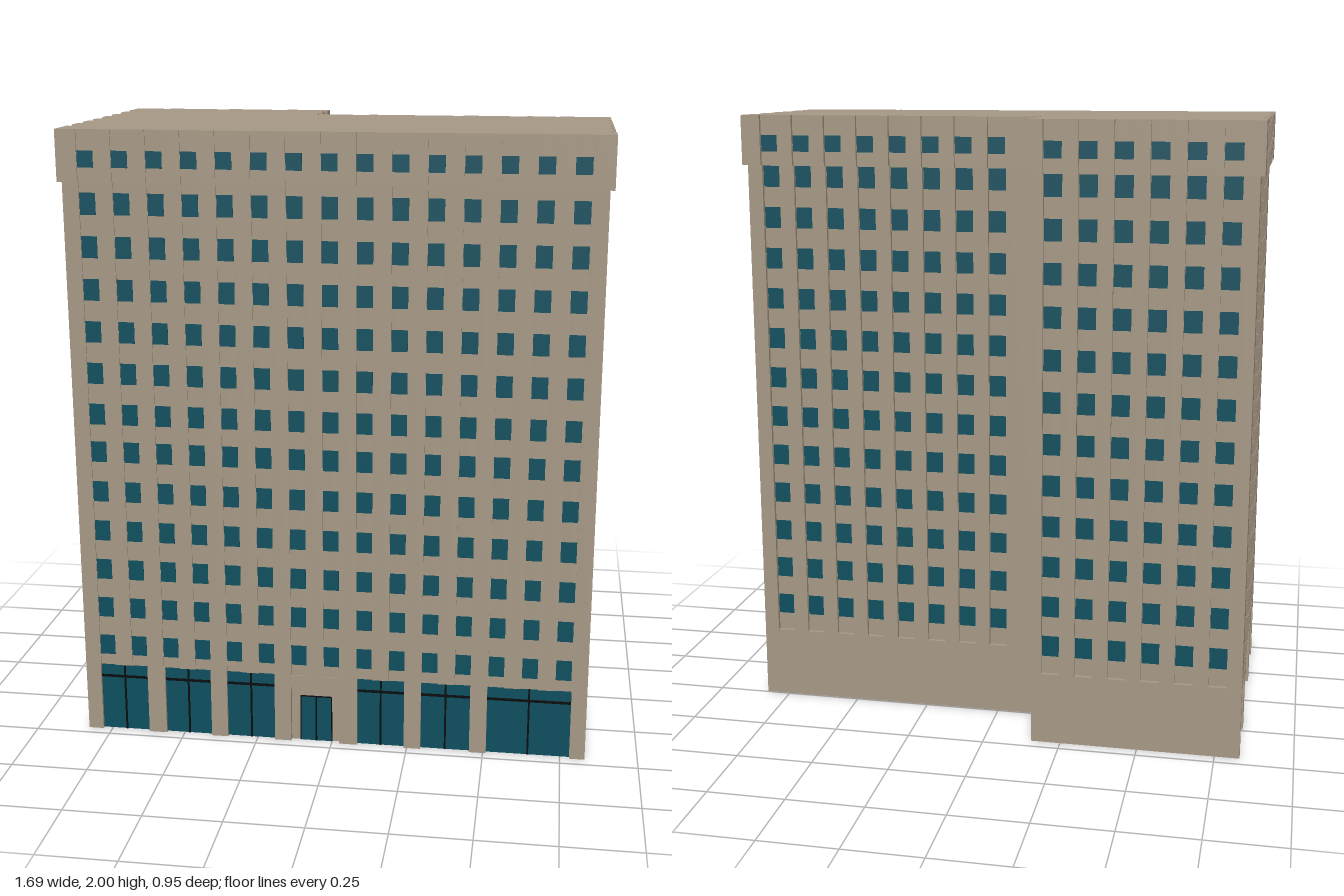
import * as THREE from 'three';
import { mergeGeometries } from 'three/addons/utils/BufferGeometryUtils.js';

const BASE = 0.236, CORNICE = 1.84, TOP = 2, OUT = 0.014;

function mat(name, color) {
  const m = new THREE.MeshStandardMaterial({ color });
  m.name = name;
  return m;
}

// evenly spaced window columns
const columns = (start, n) => Array.from({ length: n }, (_, i) => start + i * 0.1075);

// floor heights
const frontRows = Array.from({ length: 12 }, (_, i) => (i < 6 ? 0.308 + i * 0.134 : 1.103 + (i - 6) * 0.134));
const sideRows = Array.from({ length: 12 }, (_, i) => 0.329 + i * 0.134);

// Walls in order around the L-shaped plan: normal, columns, recess depth, ground floor bays
const walls = [
  { n: [0, 1], cols: columns(-0.7525, 15), depth: 0.004, width: 0.05, rows: frontRows,
    bays: [[-0.78, -0.62], [-0.56, -0.405], [-0.35, -0.19], [-0.135, 0.025],
      [0.085, 0.24], [0.295, 0.455], [0.51, 0.78]] },
  { n: [1, 0], cols: columns(-0.1, 5), depth: 0.013, width: 0.056, rows: sideRows, bays: [] },
  { n: [0, -1], cols: columns(0, 8), depth: 0.013, width: 0.056, rows: sideRows, bays: [] },
  { n: [1, 0], cols: columns(-0.38, 2), depth: 0.013, width: 0.056, rows: sideRows, bays: [] },
  { n: [0, -1], cols: columns(-0.7525, 6), depth: 0.013, width: 0.056, rows: sideRows, bays: [] },
  { n: [-1, 0], cols: columns(-0.32, 7), depth: 0.013, width: 0.056, rows: sideRows,
    bays: [[-0.43, -0.24], [-0.18, 0.17], [0.23, 0.42]] },
];
const BAY_DEPTH = 0.016;

// plan corners [x, z], grown outward by o
function corners(o) {
  const X = 0.83 + o, F = 0.466 + o / 2, B1 = -0.246 - o, B2 = -0.46 - o, S = -0.154 + o;
  return [[-X, F], [X, F], [X, B1], [S, B1], [S, B2], [-X, B2]];
}

// plan outline with slots cut into each wall, extruded from y0 to y1
function storey(o, y0, y1, slotsOf) {
  const c = corners(o), pts = [];
  walls.forEach((w, i) => {
    const a = c[i], b = c[(i + 1) % 6], axis = w.n[0] ? 1 : 0;
    const sign = Math.sign(b[axis] - a[axis]);
    const { slots, depth } = slotsOf(w);
    const at = (p, d) => (axis ? [a[0] - w.n[0] * d, p] : [p, a[1] - w.n[1] * d]);
    pts.push(a);
    [...slots].sort((s, t) => sign * (s[0] - t[0])).forEach((s) => {
      const [p, q] = sign > 0 ? s : [s[1], s[0]];
      pts.push(at(p, 0), at(p, depth), at(q, depth), at(q, 0));
    });
  });
  const shape = new THREE.Shape(pts.map(([x, z]) => new THREE.Vector2(x, -z)));
  const g = new THREE.ExtrudeGeometry(shape, { depth: y1 - y0, bevelEnabled: false });
  return g.rotateX(-Math.PI / 2).translate(0, y0, 0);
}

// thin plate lying on wall i, sunk by d, centred at p along the wall
function plate(i, o, p, y, w, h, d, thick = 0.004) {
  const { n } = walls[i], a = corners(o)[i];
  const g = new THREE.BoxGeometry(w, h, thick);
  g.rotateY(Math.atan2(n[0], n[1]));
  return n[0] ? g.translate(a[0] - n[0] * d, y, p) : g.translate(p, y, a[1] - n[1] * d);
}

export function createModel() {
  const group = new THREE.Group();
  const stone = mat('tan stone', 0xa69885);
  const glass = mat('teal glass', 0x0d4f5e);
  const black = mat('black frame', 0x080a0c);
  const add = (name, geo, m) => {
    const mesh = new THREE.Mesh(geo, m);
    mesh.name = name;
    group.add(mesh);
  };

  // Masonry: ground floor, shaft and projecting crown
  const columnSlots = (w) => ({
    slots: w.cols.map((p) => [p - w.width / 2 - 0.001, p + w.width / 2 + 0.001]), depth: w.depth,
  });
  add('groundFloor', storey(0, 0, BASE, (w) => ({ slots: w.bays, depth: BAY_DEPTH })), stone);
  add('shaft', storey(0, BASE, CORNICE, columnSlots), stone);
  add('crown', storey(OUT, CORNICE, TOP, columnSlots), stone);

  // Windows on every wall
  const panes = [];
  walls.forEach((w, i) => w.cols.forEach((p) => {
    w.rows.forEach((y) => {
      // the highest pane stops below the crown
      const top = Math.min(y + 0.034, CORNICE), bottom = y - 0.034;
      panes.push(plate(i, 0, p, (top + bottom) / 2, w.width, top - bottom, w.depth));
    });
    panes.push(plate(i, OUT, p, 1.91, w.width, 0.052, w.depth));
  }));
  add('windows', mergeGeometries(panes), glass);

  // Shop fronts with black glazing bars
  const shop = [], bars = [];
  walls.forEach((w, i) => w.bays.forEach(([a, b]) => {
    if (i === 0 && a === -0.135) return; // entrance
    const mid = (a + b) / 2, width = b - a;
    shop.push(plate(i, 0, mid, BASE / 2, width, BASE - 0.002, BAY_DEPTH - 0.004));
    bars.push(plate(i, 0, mid, 0.192, width, 0.008, BAY_DEPTH - 0.007));
    bars.push(plate(i, 0, mid, BASE / 2, 0.006, BASE - 0.002, BAY_DEPTH - 0.007));
  }));
  add('shopWindows', mergeGeometries(shop), glass);

  // Entrance: lintel, recessed surround and double door
  add('entranceLintel', plate(0, 0, -0.055, 0.2155, 0.16, 0.041, BAY_DEPTH / 2, BAY_DEPTH), stone);
  add('doors', plate(0, 0, -0.0525, 0.08, 0.105, 0.16, BAY_DEPTH - 0.001), glass);
  bars.push(plate(0, 0, -0.0525, 0.08, 0.005, 0.16, BAY_DEPTH - 0.003));
  [-0.104, -0.001].forEach((x) => bars.push(plate(0, 0, x, 0.08, 0.003, 0.16, BAY_DEPTH - 0.003)));
  bars.push(plate(0, 0, -0.0525, 0.159, 0.105, 0.003, BAY_DEPTH - 0.003));
  add('glazingBars', mergeGeometries(bars), black);

  return group;
}
